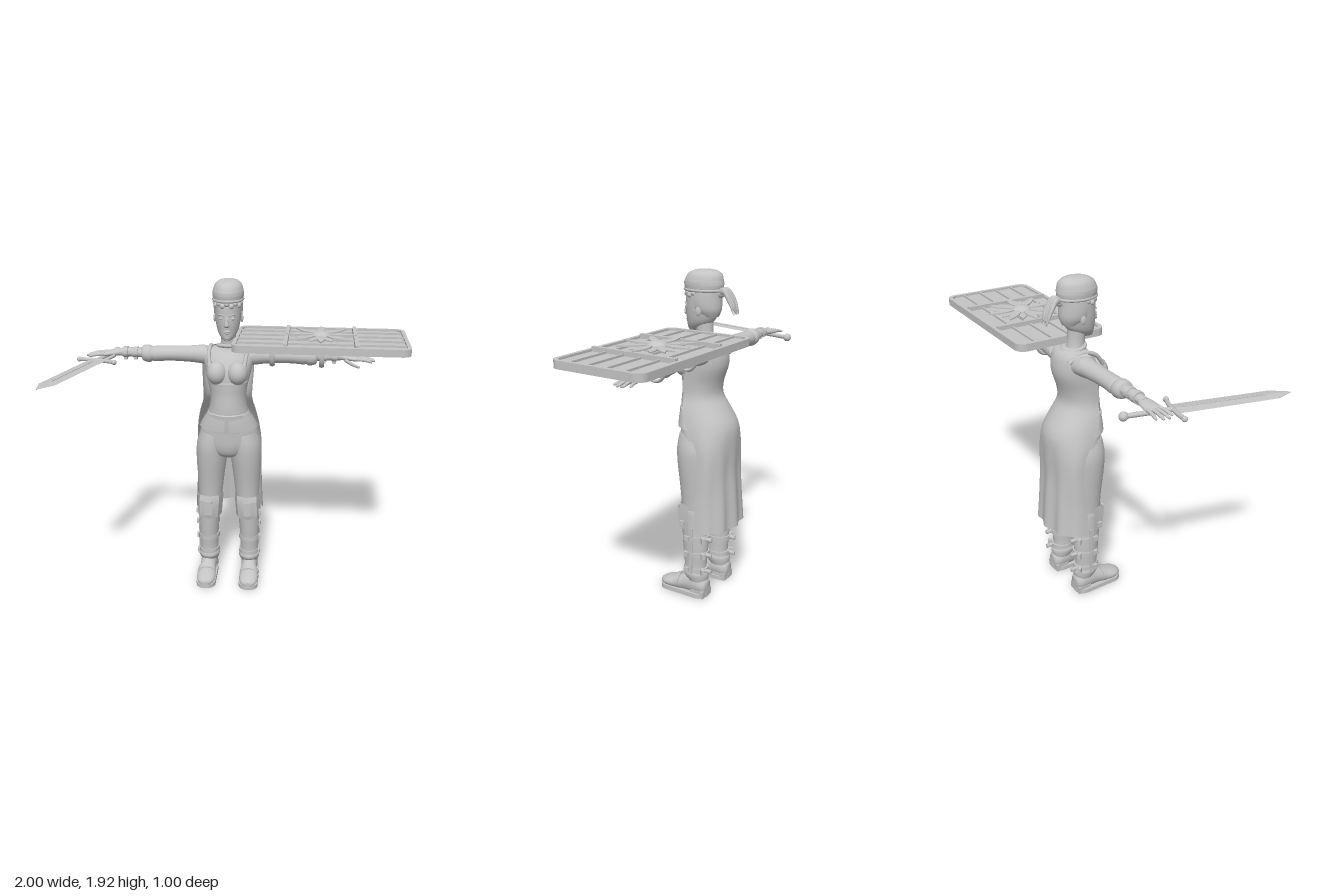
import * as THREE from 'three';
import { toCreasedNormals } from 'three/addons/utils/BufferGeometryUtils.js';

const grey = new THREE.MeshStandardMaterial({ color: 0xc4c4c4, side: THREE.DoubleSide });
grey.name = 'plain grey';

const group = (parent, name) => {
  const g = new THREE.Group();
  g.name = name;
  parent.add(g);
  return g;
};

function add(parent, name, geo, pos = [0, 0, 0], rot = [0, 0, 0], scale = [1, 1, 1]) {
  const m = new THREE.Mesh(geo, grey);
  m.name = name;
  m.position.set(...pos);
  m.rotation.set(...rot);
  m.scale.set(...scale);
  parent.add(m);
  return m;
}

// Catmull-Rom smoothing of cross-section rows
function smoothRows(rows, steps) {
  const out = [], at = i => rows[Math.min(Math.max(i, 0), rows.length - 1)];
  for (let i = 0; i < rows.length - 1; i++) for (let s = 0; s < steps; s++) {
    const t = s / steps, [a, b, c, d] = [at(i - 1), at(i), at(i + 1), at(i + 2)];
    out.push(b.map((v, k) => v + 0.5 * t * (c[k] - a[k] + t * (2 * a[k] - 5 * v + 4 * c[k] - d[k] + t * (3 * (v - c[k]) + d[k] - a[k])))));
  }
  out.push(rows.at(-1));
  return out;
}

// Skin over elliptical cross-sections: [along axis, centre A, centre B, radius A, radius B]
function loft(rows, { axis = 'y', n = 24, a0 = 0, a1 = Math.PI * 2, steps = 3, crease = 0.9 } = {}) {
  const open = a1 - a0 < 6.28;
  rows = smoothRows(rows, steps);
  if (!open) {
    const f = rows[0], l = rows.at(-1);
    rows = [[f[0], f[1], f[2], 0, 0], ...rows, [l[0], l[1], l[2], 0, 0]];
  }
  const pos = [], idx = [], w = open ? n + 1 : n;
  const flip = (rows.at(-1)[0] < rows[0][0]) !== (axis !== 'y');
  for (const [t, ca, cb, ra, rb] of rows) for (let j = 0; j < w; j++) {
    const q = a0 + (a1 - a0) * j / n, A = ca + ra * Math.sin(q), B = cb + rb * Math.cos(q);
    pos.push(...(axis === 'y' ? [A, t, B] : axis === 'x' ? [t, A, B] : [A, B, t]));
  }
  for (let r = 0; r < rows.length - 1; r++) for (let j = 0; j < n; j++) {
    const k = (j + 1) % w, a = r * w + j, b = r * w + k, c = a + w, d = b + w;
    idx.push(...(flip ? [a, c, b, b, c, d] : [a, b, c, b, d, c]));
  }
  const g = new THREE.BufferGeometry();
  g.setAttribute('position', new THREE.Float32BufferAttribute(pos, 3));
  g.setIndex(idx);
  return toCreasedNormals(g, crease);
}

const ball = (r = 1) => new THREE.SphereGeometry(r, 20, 14);
const box = (x, y, z) => new THREE.BoxGeometry(x, y, z);
const tube = (pts, r, n = 12) => new THREE.TubeGeometry(new THREE.CatmullRomCurve3(pts.map(p => new THREE.Vector3(...p))), n, r, 8);

function roundRect(S, w, h, r) {
  const s = new S();
  s.absarc(w - r, h - r, r, 0, Math.PI / 2).absarc(r - w, h - r, r, Math.PI / 2, Math.PI);
  s.absarc(r - w, r - h, r, Math.PI, Math.PI * 1.5).absarc(w - r, r - h, r, Math.PI * 1.5, Math.PI * 2);
  s.closePath();
  return s;
}
const slab = (shape, depth) => new THREE.ExtrudeGeometry(shape, { depth, bevelEnabled: false, curveSegments: 8 }).rotateX(-Math.PI / 2);

function buildHead(body) {
  const h = group(body, 'head');
  add(h, 'neck', loft([[1.48, 0, -.2, .06, .06], [1.55, 0, -.185, .045, .05], [1.65, 0, -.18, .045, .052]]));
  add(h, 'face', loft([[1.577, 0, -.11, .018, .026], [1.597, 0, -.13, .04, .052], [1.63, 0, -.155, .06, .08],
    [1.68, 0, -.165, .071, .097], [1.73, 0, -.168, .075, .1], [1.79, 0, -.172, .075, .1], [1.84, 0, -.175, .06, .08]]));
  add(h, 'hair', loft([[1.66, 0, -.21, .05, .055], [1.7, 0, -.19, .077, .09], [1.76, 0, -.18, .084, .1], [1.82, 0, -.18, .08, .1]],
    { a0: 1.3, a1: Math.PI * 2 - 1.3 }));
  for (let i = 0; i < 9; i++) {
    const a = (i / 4 - 1) * 1.35;
    add(h, 'hairCurl', ball(.016), [.073 * Math.sin(a), 1.79 - .012 * (i % 2), -.172 + .095 * Math.cos(a)]);
  }
  add(h, 'cap', loft([[1.795, 0, -.175, .08, .1], [1.808, 0, -.175, .087, .112], [1.84, 0, -.175, .09, .117], [1.855, 0, -.175, .088, .114],
    [1.89, 0, -.18, .076, .1], [1.91, 0, -.185, .05, .065], [1.916, 0, -.19, .015, .02]]));
  add(h, 'capBand', new THREE.TorusGeometry(1, .07, 8, 32), [0, 1.806, -.175], [Math.PI / 2, 0, 0], [.086, .112, .12]);
  add(h, 'nose', loft([[1.725, 0, -.073, .008, .008], [1.69, 0, -.066, .01, .013], [1.668, 0, -.064, .016, .014], [1.66, 0, -.068, .011, .006]], { n: 12 }));
  add(h, 'upperLip', ball(), [0, 1.637, -.076], [0, 0, 0], [.021, .006, .011]);
  add(h, 'lowerLip', ball(), [0, 1.627, -.077], [0, 0, 0], [.017, .007, .011]);
  add(h, 'chin', ball(), [0, 1.598, -.093], [0, 0, 0], [.02, .017, .016]);
  for (const s of [-1, 1]) {
    add(h, 'eye', ball(), [s * .031, 1.708, -.083], [0, 0, 0], [.014, .009, .01]);
    add(h, 'eyebrow', tube([[s * .013, 1.724, -.07], [s * .035, 1.732, -.076], [s * .054, 1.724, -.094]], .004));
    add(h, 'ear', ball(), [s * .078, 1.695, -.185], [0, s * .3, 0], [.008, .026, .016]);
  }
  // tied hair falling behind
  add(h, 'hairTie', ball(), [0, 1.79, -.28], [0, 0, 0], [.025, .025, .025]);
  for (let i = -2; i <= 2; i++)
    add(h, 'ponytailStrand', loft([[-.27, i * .004, 1.795, .012, .018], [-.31, i * .01, 1.805, .014, .02],
      [-.345, i * .014, 1.765, .014, .022], [-.37 - .005 * (i % 2), i * .014, 1.715, .009, .018], [-.378, i * .015, 1.685, .002, .005]], { axis: 'z', n: 10 }));
}

function buildTorso(body) {
  const t = group(body, 'torso');
  add(t, 'bodice', loft([[1.02, 0, -.2, .15, .14], [1.12, 0, -.178, .125, .128], [1.18, 0, -.17, .11, .12], [1.25, 0, -.168, .107, .112],
    [1.33, 0, -.173, .122, .118], [1.4, 0, -.185, .138, .122], [1.46, 0, -.2, .146, .105], [1.505, 0, -.21, .12, .08], [1.53, 0, -.2, .06, .06]], { n: 32 }));
  add(t, 'collar', new THREE.TorusGeometry(.062, .012, 8, 28), [0, 1.527, -.2], [1.4, 0, 0]);
  for (const s of [-1, 1]) {
    add(t, 'bust', ball(), [s * .06, 1.388, -.092], [0, s * .15, 0], [.06, .07, .065]);
    add(t, 'shoulderStrap', tube([[s * .1, 1.43, -.075], [s * .11, 1.5, -.13], [s * .105, 1.525, -.21], [s * .1, 1.48, -.29]], .012));
  }
  add(t, 'bodiceSeam', loft([[1.318, 0, -.171, .121, .12], [1.328, 0, -.171, .124, .122], [1.336, 0, -.172, .123, .119]], { n: 32, steps: 1 }));
  add(t, 'waistBand', loft([[1.11, 0, -.178, .131, .134], [1.135, 0, -.173, .124, .131], [1.14, 0, -.173, .116, .124]], { n: 32, steps: 1 }));
  add(t, 'peplum', loft([[1.035, 0, -.2, .176, .156], [1.08, 0, -.19, .153, .147], [1.125, 0, -.176, .126, .131]], { n: 36, a0: .08, a1: Math.PI * 2 - .08 }));
  add(t, 'hips', loft([[.84, 0, -.2, .04, .06], [.87, 0, -.21, .12, .12], [.93, 0, -.215, .178, .145], [1, 0, -.21, .175, .145], [1.08, 0, -.19, .14, .13]], { n: 32 }));
}

// Cloak rows: [height, half width, front edge z, back z]
function buildCloak(body) {
  const rows = smoothRows([[1.525, .11, -.19, -.245], [1.5, .15, -.18, -.3], [1.4, .152, -.16, -.32], [1.3, .146, -.13, -.292], [1.22, .145, -.135, -.285],
    [1.15, .165, -.14, -.325], [1.05, .185, -.18, -.383], [.93, .197, -.25, -.39], [.78, .2, -.268, -.39], [.62, .205, -.25, -.405], [.44, .215, -.255, -.42]], 3);
  const g = new THREE.PlaneGeometry(1, 1, 40, rows.length - 1), p = g.attributes.position;
  for (let i = 0; i < p.count; i++) {
    const [y, w, zf, zb] = rows[Math.floor(i / 41)], a = ((i % 41) / 20 - 1) * Math.PI / 2, c = Math.cos(a);
    const fold = Math.max(0, 1.05 - y) * .016 * (Math.cos(a * 10) - 1) * c;
    p.setXYZ(i, -w * Math.sin(a), y, zf + (zb - zf) * Math.pow(c, .8) - fold);
  }
  g.computeVertexNormals();
  add(body, 'cloak', g);
}

function buildLeg(side) {
  const l = group(side, 'leg');
  add(l, 'trouserLeg', loft([[.5, .12, -.2, .066, .078], [.6, .115, -.202, .075, .085], [.7, .112, -.205, .083, .1], [.82, .107, -.205, .094, .118],
    [.92, .1, -.21, .098, .132], [1, .085, -.21, .085, .125]]));
  add(l, 'bootShaft', loft([[.1, .13, -.235, .055, .06], [.135, .13, -.222, .066, .078], [.16, .13, -.218, .067, .077], [.185, .13, -.217, .058, .067],
    [.32, .13, -.215, .062, .078], [.45, .125, -.207, .066, .08], [.55, .12, -.2, .07, .08], [.56, .12, -.2, .06, .07]]));
  // faceted knee plate
  add(l, 'kneeGuard', loft([[.435, .123, -.19, .078, .086], [.47, .122, -.19, .079, .094], [.55, .118, -.19, .082, .092], [.585, .116, -.19, .08, .08]],
    { n: 4, a0: -1.7, a1: 1.7, steps: 1, crease: .2 }));
  add(l, 'shinRidge', box(.045, .09, .012), [.121, .51, -.1], [0, 0, 0]);
  add(l, 'kneeStud', box(.012, .03, .03), [.196, .47, -.16]);
  [.38, .28, .175].forEach((y, i) => {
    const k = i === 2 ? .069 : .073;
    add(l, 'bootStrap', loft([[y - .014, .13, -.22, k - .005, k + .007], [y + .014, .13, -.22, k - .005, k + .007]], { steps: 1 }));
    add(l, 'strapStud', box(.012, .03, .03), [.13 + k - .005, y, -.19]);
    add(l, 'buckle', box(.02, .034, .05), [.168, y, -.28], [0, -.7, 0]);
    add(l, 'strapEnd', loft([[-.28, .145, y, .012, .013], [-.315, .145, y, .012, .013], [-.332, .145, y, .008, .016]], { axis: 'z', n: 10 }));
  });
  add(l, 'shinSeam', box(.008, .3, .014), [.193, .3, -.222]);
  add(l, 'foot', loft([[.008, .135, .035, .025, .018], [-.015, .135, .042, .05, .026], [-.06, .136, .048, .06, .036], [-.11, .135, .055, .055, .046],
    [-.16, .133, .07, .05, .062], [-.21, .132, .075, .052, .07], [-.27, .132, .07, .052, .06], [-.298, .132, .065, .035, .045]], { axis: 'z' }));
  add(l, 'footStrap', loft([[-.09, .135, .055, .06, .046], [-.125, .135, .062, .057, .056]], { axis: 'z', steps: 1 }));
  add(l, 'sole', slab(roundRect(THREE.Shape, .06, .155, .055), .026), [.135, 0, -.145]);
  add(l, 'heel', box(.1, .045, .085), [.132, .0225, -.255]);
}

function buildArm(side) {
  const a = group(side, 'arm'), z = -.222;
  add(a, 'sleeve', loft([[.09, 1.455, z, .05, .06], [.15, 1.465, z, .056, .06], [.22, 1.467, z, .049, .053], [.35, 1.467, z, .044, .048],
    [.44, 1.463, z, .046, .05], [.455, 1.463, z, .042, .047], [.475, 1.463, z, .052, .055], [.51, 1.466, z, .047, .052], [.52, 1.467, z, .036, .04]], { axis: 'x' }));
  add(a, 'forearm', loft([[.49, 1.468, z, .03, .034], [.6, 1.47, z, .027, .03], [.68, 1.468, z, .02, .027]], { axis: 'x' }));
  for (const x of [.56, .62]) {
    add(a, 'wristBand', loft([[x - .014, 1.47, z, .033, .037], [x + .014, 1.47, z, .032, .036]], { axis: 'x', steps: 1 }));
    add(a, 'wristBuckle', box(.02, .014, .025), [x, 1.436, z + .01]);
  }
  add(a, 'palm', loft([[.65, 1.468, z, .019, .026], [.69, 1.465, z, .018, .04], [.74, 1.46, z, .016, .044], [.765, 1.457, z, .01, .04]], { axis: 'x' }));
  for (let i = 0; i < 4; i++) {
    const f = i - 1.5, len = [.08, .1, .105, .085][i], zz = z + f * .022;
    add(a, 'finger', loft([[.745, 1.46, zz, .011, .011], [.75 + len * .5, 1.458, zz + f * .004, .009, .01], [.75 + len * .95, 1.45, zz + f * .008, .007, .008],
      [.752 + len, 1.449, zz + f * .009, .003, .003]], { axis: 'x', n: 10 }));
  }
  add(a, 'thumb', loft([[.68, 1.455, z + .025, .012, .014], [.72, 1.437, z + .05, .011, .011], [.76, 1.422, z + .058, .008, .008], [.768, 1.42, z + .059, .003, .003]], { axis: 'x', n: 10 }));
}

function buildSword(root) {
  const s = group(root, 'sword');
  s.position.set(-.75, 1.44, -.365);
  s.rotation.y = -.267;
  add(s, 'pommel', ball(.024));
  add(s, 'grip', new THREE.CylinderGeometry(.013, .013, .24, 12), [0, 0, .125], [Math.PI / 2, 0, 0]);
  add(s, 'crossguard', tube([[-.115, 0, .262], [-.05, 0, .252], [.05, 0, .252], [.115, 0, .262]], .012));
  for (const x of [-.115, .115]) add(s, 'guardTip', ball(.015), [x, 0, .262]);
  add(s, 'blade', loft([[.25, 0, 0, .053, .007], [.79, 0, 0, .05, .006], [.89, 0, 0, .001, .002]], { axis: 'z', n: 4, steps: 1, crease: .1 }));
  for (let i = 0; i < 18; i++) add(s, 'bladeGroove', box(.012, .017, .02), [0, 0, .31 + i * .025]);
}

function buildShield(root) {
  const s = group(root, 'shield');
  s.position.set(.4925, 1.545, -.225);
  s.rotation.y = -.027;
  add(s, 'board', slab(roundRect(THREE.Shape, .495, .265, .05), .024));
  const frame = roundRect(THREE.Shape, .5, .27, .055);
  frame.holes.push(roundRect(THREE.Path, .478, .248, .04));
  add(s, 'rim', slab(frame, .042), [0, -.006, 0]);
  for (let i = 0; i < 4; i++) add(s, 'plankRib', box(.96, .014, .01), [0, .028, (i - 1.5) * .107]);
  for (const x of [-.198, .2]) add(s, 'crossBar', box(.022, .03, .5), [x, .034, 0]);
  // sunburst of pointed leaves
  for (let i = 0; i < 16; i++) {
    const len = i % 2 ? .165 : .21, leaf = new THREE.Shape();
    leaf.moveTo(.05, -.008).quadraticCurveTo(len * .55, -.04, len, 0).quadraticCurveTo(len * .55, .04, .05, .008);
    add(s, 'sunLeaf', slab(leaf, .007), [0, i % 2 ? .04 : .048, 0], [0, i * Math.PI / 8, 0]);
  }
  add(s, 'boss', ball(.06), [0, .04, 0], [0, 0, 0], [1, .55, 1]);
  add(s, 'bossBase', new THREE.CylinderGeometry(.066, .07, .03, 28), [0, .035, 0]);
  // straps under the board hold the arm
  for (const x of [-.28, .01]) {
    add(s, 'armStrap', new THREE.TorusGeometry(.058, .008, 6, 24), [x, -.07, .005], [0, Math.PI / 2, 0], [1, 1.15, 2]);
    add(s, 'strapPlate', box(.09, .012, .12), [x, -.006, .005]);
  }
}

export function createModel() {
  const root = new THREE.Group();
  root.name = 'shieldBearer';
  const body = group(root, 'body');
  body.position.x = -.045;
  buildHead(body);
  buildTorso(body);
  buildCloak(body);
  for (const s of [1, -1]) {
    const side = group(body, s > 0 ? 'leftLimbs' : 'rightLimbs');
    side.scale.x = s;
    buildLeg(side);
    buildArm(side);
  }
  buildSword(root);
  buildShield(root);
  return root;
}
